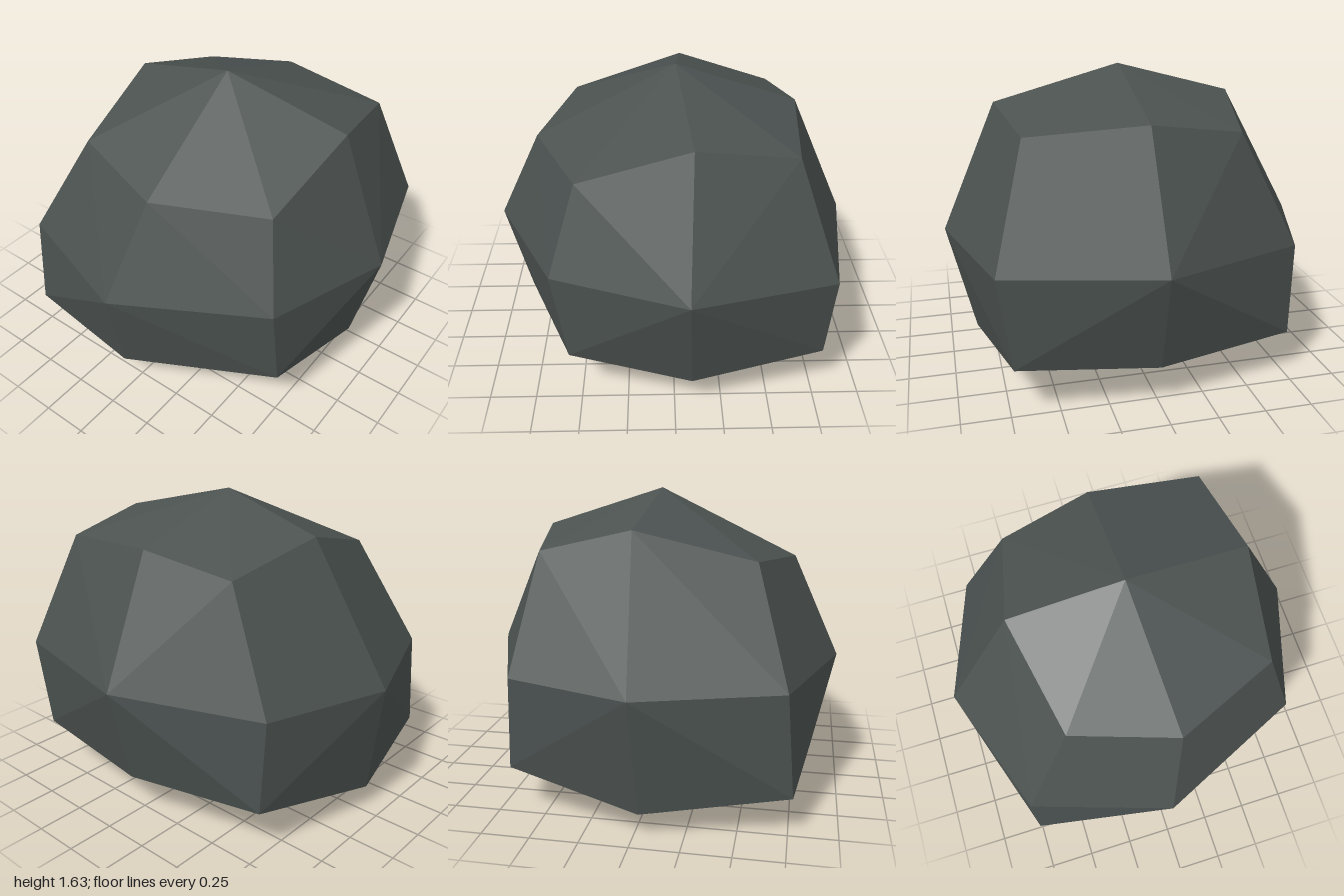
import * as THREE from 'three';
import { ConvexGeometry } from 'three/addons/geometries/ConvexGeometry.js';

const stone = new THREE.MeshStandardMaterial({ color: 0x4b5250 });
stone.name = 'dark stone';

// Horizontal rings of the boulder, [x, y, z], starting at the back right corner
const lowerRing = [
  [-0.77, 0.2, -0.75], [-0.03, 0.13, -0.91], [0.68, 0.25, -0.75], [0.83, 0.22, 0],
  [0.79, 0.28, 0.73], [0.09, 0.2, 0.86], [-0.55, 0.32, 0.78], [-0.85, 0.19, -0.03],
];
const middleRing = [
  [-0.73, 0.73, -0.74], [0, 0.74, -1], [0.66, 0.74, -0.77], [0.96, 0.75, 0],
  [0.81, 0.77, 0.8], [0.07, 0.78, 1], [-0.62, 0.81, 0.78], [-0.97, 0.73, 0],
];
const upperRing = [
  [-0.55, 1.31, -0.45], [0.06, 1.47, -0.58], [0.57, 1.34, -0.48], [0.66, 1.42, 0.02],
  [0.6, 1.38, 0.63], [0.09, 1.46, 0.71], [-0.48, 1.27, 0.66], [-0.72, 1.26, 0.1],
];
const base = [-0.02, 0, -0.04];
const peak = [0.02, 1.63, 0.03];

export function createModel() {
  const group = new THREE.Group();
  group.name = 'rock';

  // Faceted boulder wrapped around the rings
  const points = [base, ...lowerRing, ...middleRing, ...upperRing, peak]
    .map((p) => new THREE.Vector3(...p));
  const boulder = new THREE.Mesh(new ConvexGeometry(points), stone);
  boulder.name = 'boulder';
  group.add(boulder);

  return group;
}
